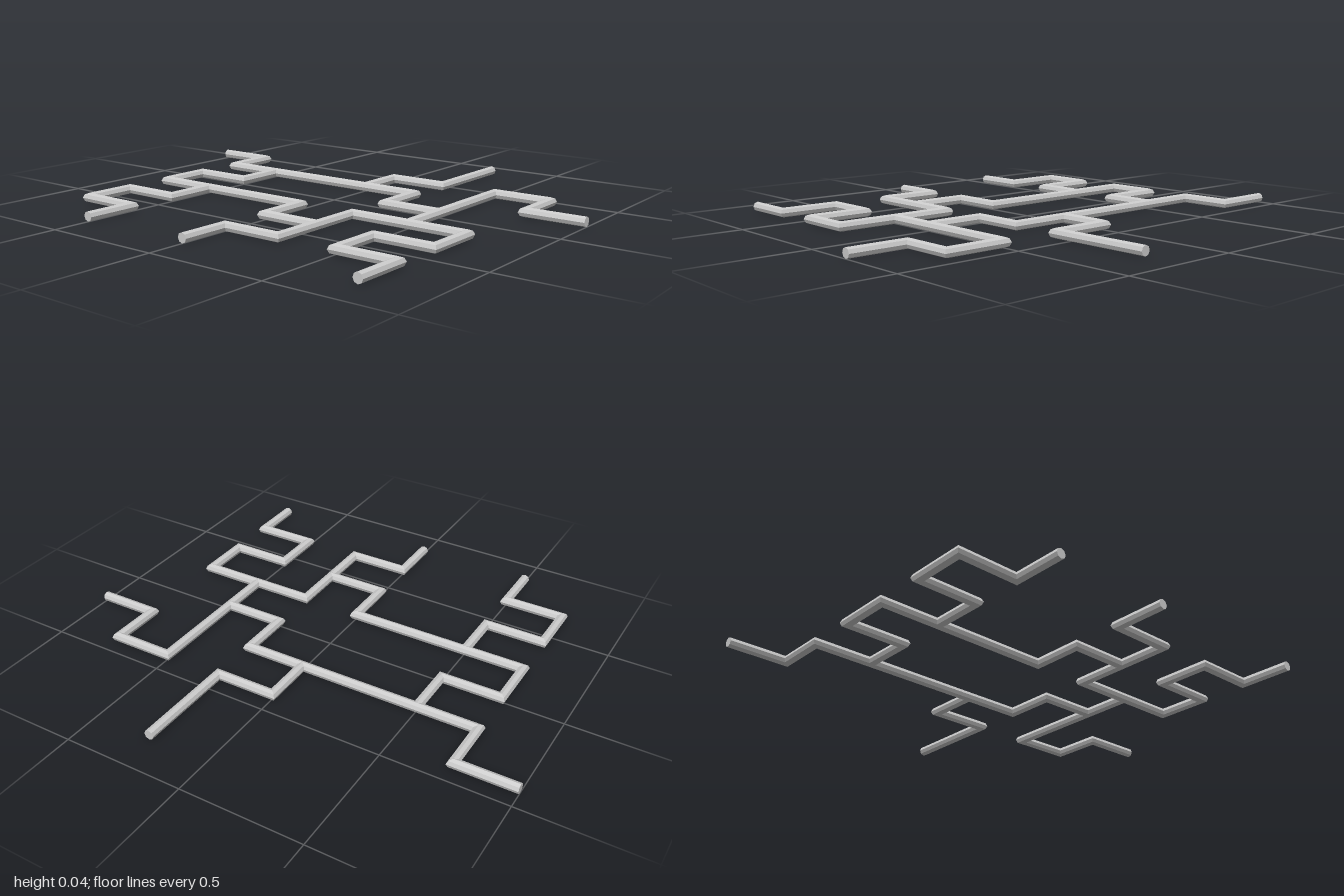
import * as THREE from 'three';

const RADIUS = 0.02, SIDES = 8;
const CELL_X = 0.25, CELL_Z = 0.2125;

// Pipe centre lines as [column, row] grid cells, lying flat on the ground
const RUNS = {
  upperMainPipe: [[-4, -2], [-3, -2], [-3, -1], [1, -1], [1, 0], [2, 0]],
  backBranch: [[1, -4], [1, -2], [0, -2], [0, -1]],
  lowerMainPipe: [[-2, -1], [-2, 0], [-3, 0], [-3, 1], [0, 1], [0, 2], [1, 2]],
  frontRightBranch: [[-2, 1], [-2, 2], [-3, 2], [-3, 3], [-2, 3], [-2, 4]],
  leftBranch: [[4, -1], [3, -1], [3, -2], [2, -2], [2, 1]],
  frontLeftBranch: [[0, 4], [0, 3], [1, 3], [1, 1], [3, 1], [3, 2], [2, 2], [2, 3], [3, 3], [3, 4]],
};

// Sweeps a polygonal section along a flat path with mitred corners and closed ends
function pipeGeometry(cells) {
  const points = cells.map(([c, r]) => new THREE.Vector3(c * CELL_X, RADIUS, r * CELL_Z));
  const up = new THREE.Vector3(0, 1, 0);
  const sides = points.slice(1).map((p, i) => p.clone().sub(points[i]).normalize().cross(up));
  const positions = [], index = [];

  points.forEach((p, i) => {
    const a = sides[Math.max(i - 1, 0)], b = sides[Math.min(i, sides.length - 1)];
    const mitre = a.clone().add(b).divideScalar(1 + a.dot(b));
    for (let j = 0; j < SIDES; j++) {
      const t = (j / SIDES) * Math.PI * 2;
      const v = p.clone().addScaledVector(mitre, RADIUS * Math.cos(t)).addScaledVector(up, RADIUS * Math.sin(t));
      positions.push(v.x, v.y, v.z);
    }
  });

  const last = points.length - 1, startCentre = points.length * SIDES;
  for (const p of [points[0], points[last]]) positions.push(p.x, p.y, p.z);
  for (let j = 0; j < SIDES; j++) {
    const k = (j + 1) % SIDES;
    for (let i = 0; i < last; i++) {
      const a = i * SIDES, b = a + SIDES;
      index.push(a + j, b + j, a + k, a + k, b + j, b + k);
    }
    index.push(startCentre, j, k, startCentre + 1, last * SIDES + k, last * SIDES + j);
  }

  const geometry = new THREE.BufferGeometry();
  geometry.setAttribute('position', new THREE.Float32BufferAttribute(positions, 3));
  geometry.setIndex(index);
  geometry.computeVertexNormals();
  return geometry;
}

export function createModel() {
  const group = new THREE.Group();
  group.name = 'pipeNetwork';
  const material = new THREE.MeshStandardMaterial({ color: 0xcccccc, flatShading: true });
  for (const [name, cells] of Object.entries(RUNS)) {
    const pipe = new THREE.Mesh(pipeGeometry(cells), material);
    pipe.name = name;
    group.add(pipe);
  }
  return group;
}
